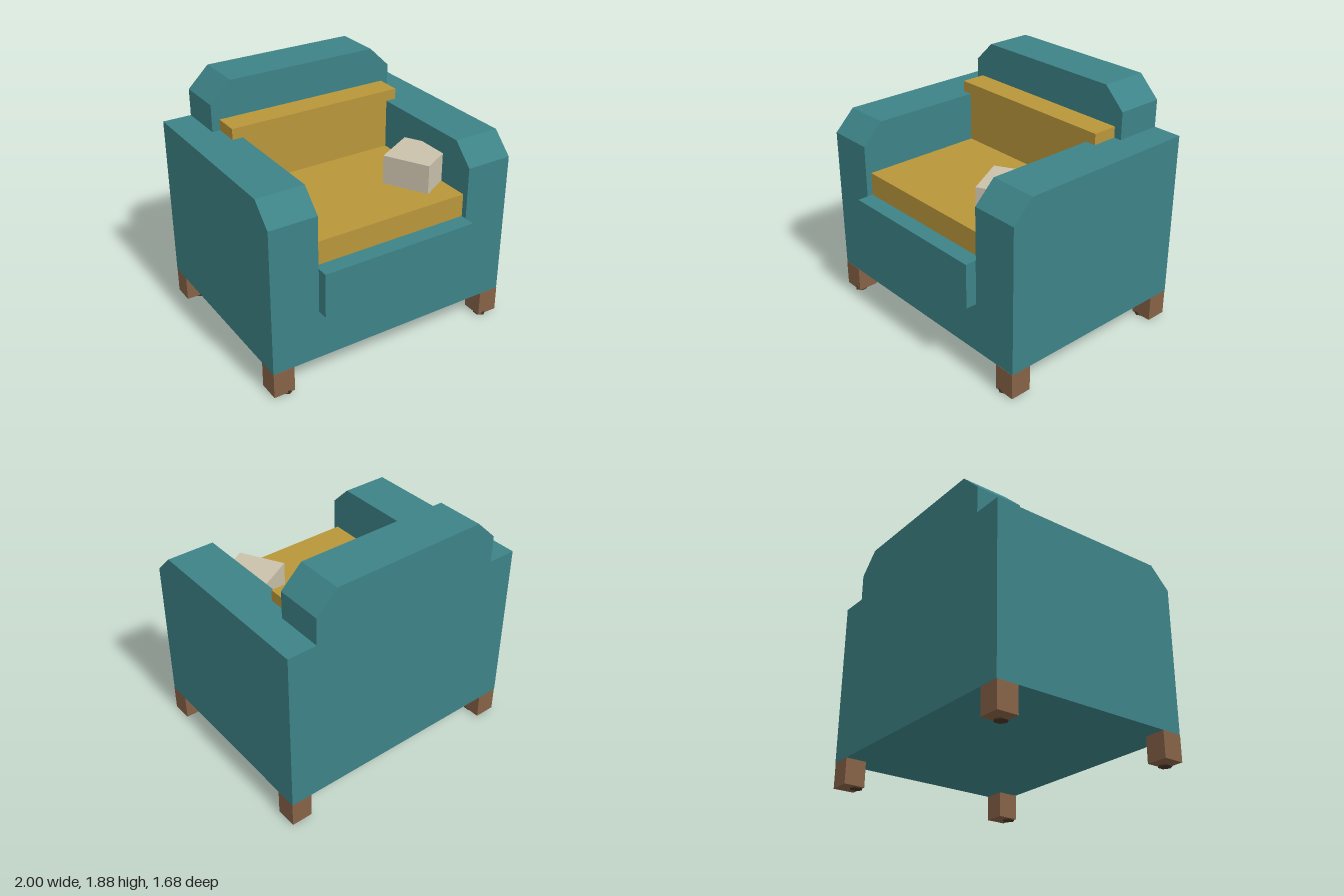
import * as THREE from 'three';

const material = (name, color) => {
  const m = new THREE.MeshStandardMaterial({ color });
  m.name = name;
  return m;
};

export function createModel() {
  const model = new THREE.Group();
  model.name = 'armchair';
  const teal = material('teal fabric', 0x3d8387);
  const gold = material('gold cushion', 0xb9963a);
  const wood = material('brown wood', 0x866246);
  const darkWood = material('dark foot', 0x4a3626);
  const cream = material('cream pillow', 0xcac1ab);

  const add = (name, geometry, mat) => {
    const mesh = new THREE.Mesh(geometry, mat);
    mesh.name = name;
    model.add(mesh);
    return mesh;
  };
  // Box given by its limits on each axis
  const box = (name, [x0, x1], [y0, y1], [z0, z1], mat) => {
    const g = new THREE.BoxGeometry(x1 - x0, y1 - y0, z1 - z0);
    g.translate((x0 + x1) / 2, (y0 + y1) / 2, (z0 + z1) / 2);
    return add(name, g, mat);
  };
  const prism = (points, depth) => new THREE.ExtrudeGeometry(
    new THREE.Shape(points.map(([x, y]) => new THREE.Vector2(x, y))),
    { depth, bevelEnabled: false });

  // Body between the arms, with its front panel
  box('seatBase', [-0.63, 0.63], [0.21, 0.945], [-0.47, 0.755], teal);
  box('backPanel', [-0.63, 0.63], [0.21, 1.51], [-0.84, -0.47], teal);
  box('frontPanel', [-0.628, 0.628], [0.6, 0.945], [0.755, 0.84], teal);

  // Headrest with bevelled upper corners
  const headrest = prism([[-0.775, 1.51], [0.775, 1.51], [0.775, 1.72],
    [0.61, 1.88], [-0.61, 1.88], [-0.775, 1.72]], 0.37);
  headrest.translate(0, 0, -0.84);
  add('headrest', headrest, teal);

  // Cushions; the back one is set into the arms
  box('seatCushion', [-0.63, 0.63], [0.945, 1.125], [-0.47, 0.71], gold);
  box('backCushion', [-0.713, 0.713], [1.125, 1.595], [-0.47, -0.27], gold);

  // Pillow turned against the left arm
  const pillow = add('pillow', new THREE.BoxGeometry(0.365, 0.225, 0.365), cream);
  pillow.position.set(0.488, 1.2375, 0.323);
  pillow.rotation.y = 0.5;

  for (const side of [1, -1]) {
    const label = side > 0 ? 'left' : 'right';

    // Arm: side profile with a sloped front top edge
    const arm = prism([[-0.84, 0.21], [0.755, 0.21], [0.755, 1.35],
      [0.595, 1.51], [-0.84, 1.51]], 0.37);
    arm.rotateY(-Math.PI / 2);
    arm.translate(side > 0 ? 1 : -0.63, 0, 0);
    add(label + 'Arm', arm, teal);

    // Legs with small foot pads
    for (const [end, z] of [['Front', 0.675], ['Back', -0.755]]) {
      const leg = add(label + end + 'Leg', new THREE.BoxGeometry(0.165, 0.2, 0.165), wood);
      leg.position.set(side * 0.9175, 0.11, z);
      const foot = add(label + end + 'Foot',
        new THREE.CylinderGeometry(0.05, 0.05, 0.025, 6).toNonIndexed(), darkWood);
      foot.geometry.computeVertexNormals();
      foot.position.set(side * 0.88, 0.0125, z + 0.04);
    }
  }
  return model;
}
